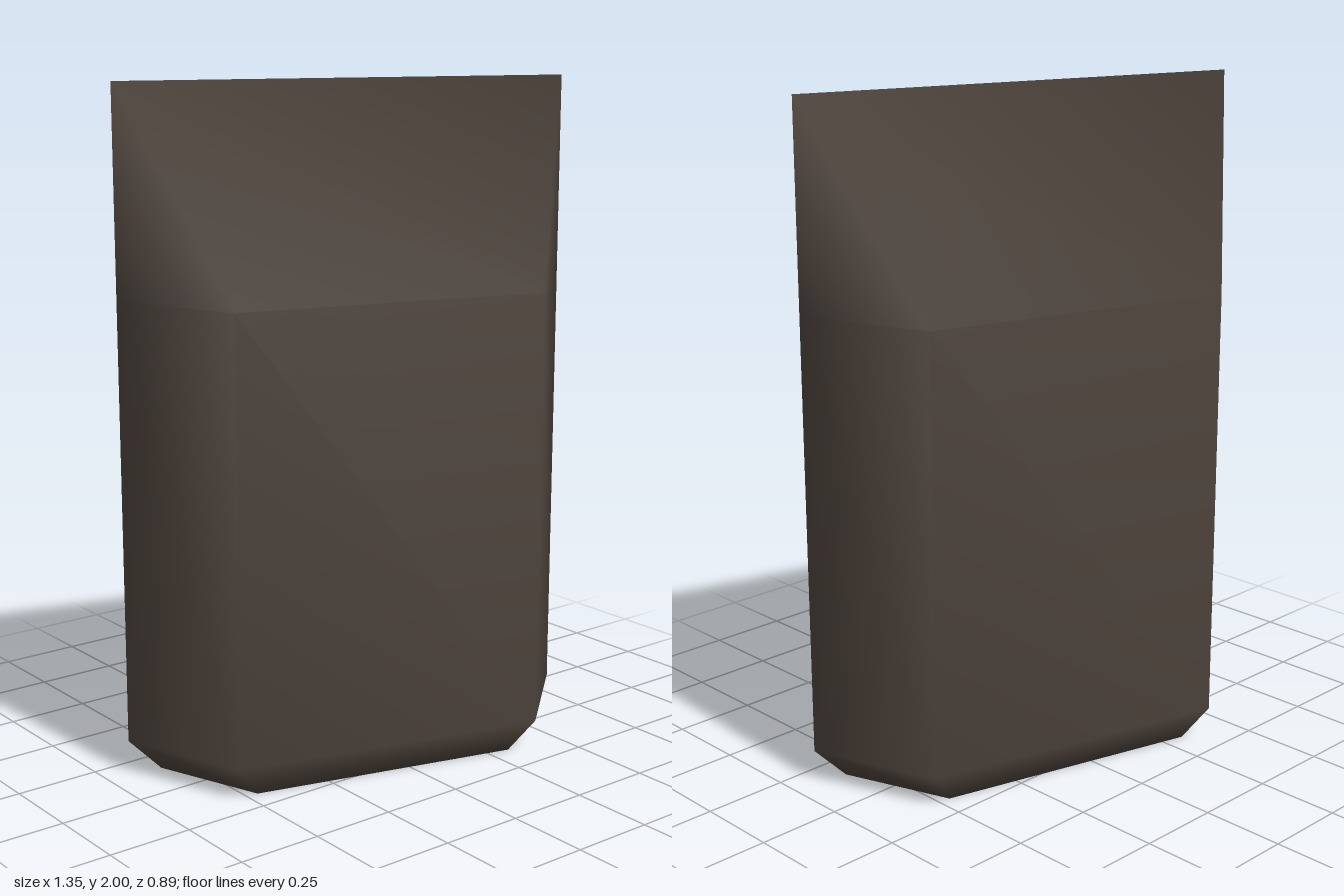
import * as THREE from 'three';

const darkStone = new THREE.MeshStandardMaterial({ color: 0x4a4039 });
darkStone.name = 'dark brown stone';

// Six-sided outline (x, z); the first and fourth corners carry the ridge
const half = [[-0.675, -0.18], [-0.37, -0.443], [0.54, -0.2]];
const outline = [...half, ...half.map(([x, z]) => [-x, -z])];

function pillarGeometry() {
  const positions = [], index = [];
  // Chamfered foot, wall base and wall top
  for (const [y, scale] of [[0, 0.86], [0.1, 1], [1.4, 1]]) {
    for (const [x, z] of outline) positions.push(x * scale, y, z * scale);
  }
  // Two ends of the roof ridge
  const ridgeA = 18, ridgeD = 19;
  for (const k of [0, 3]) positions.push(outline[k][0], 2, outline[k][1]);

  const quad = (a, b, c, d) => index.push(a, b, c, a, c, d);
  // Chamfer and walls
  for (let r = 0; r < 2; r++) {
    for (let i = 0; i < 6; i++) {
      const a = r * 6 + i, b = r * 6 + (i + 1) % 6;
      quad(a, a + 6, b + 6, b);
    }
  }
  // Underside
  for (let i = 1; i < 5; i++) index.push(0, i, i + 1);
  // Roof slopes, then the narrow ends below each ridge point
  const [A, B, C, D, E, F] = [12, 13, 14, 15, 16, 17];
  quad(B, ridgeA, ridgeD, C);
  quad(E, ridgeD, ridgeA, F);
  index.push(C, ridgeD, D, D, ridgeD, E, F, ridgeA, A, A, ridgeA, B);

  const geometry = new THREE.BufferGeometry();
  geometry.setAttribute('position', new THREE.Float32BufferAttribute(positions, 3));
  geometry.setIndex(index);
  geometry.computeVertexNormals(); // shared corners give soft shading
  return geometry;
}

export function createModel() {
  const group = new THREE.Group();
  group.name = 'stonePillar';
  const pillar = new THREE.Mesh(pillarGeometry(), darkStone);
  pillar.name = 'pillar';
  group.add(pillar);
  return group;
}
